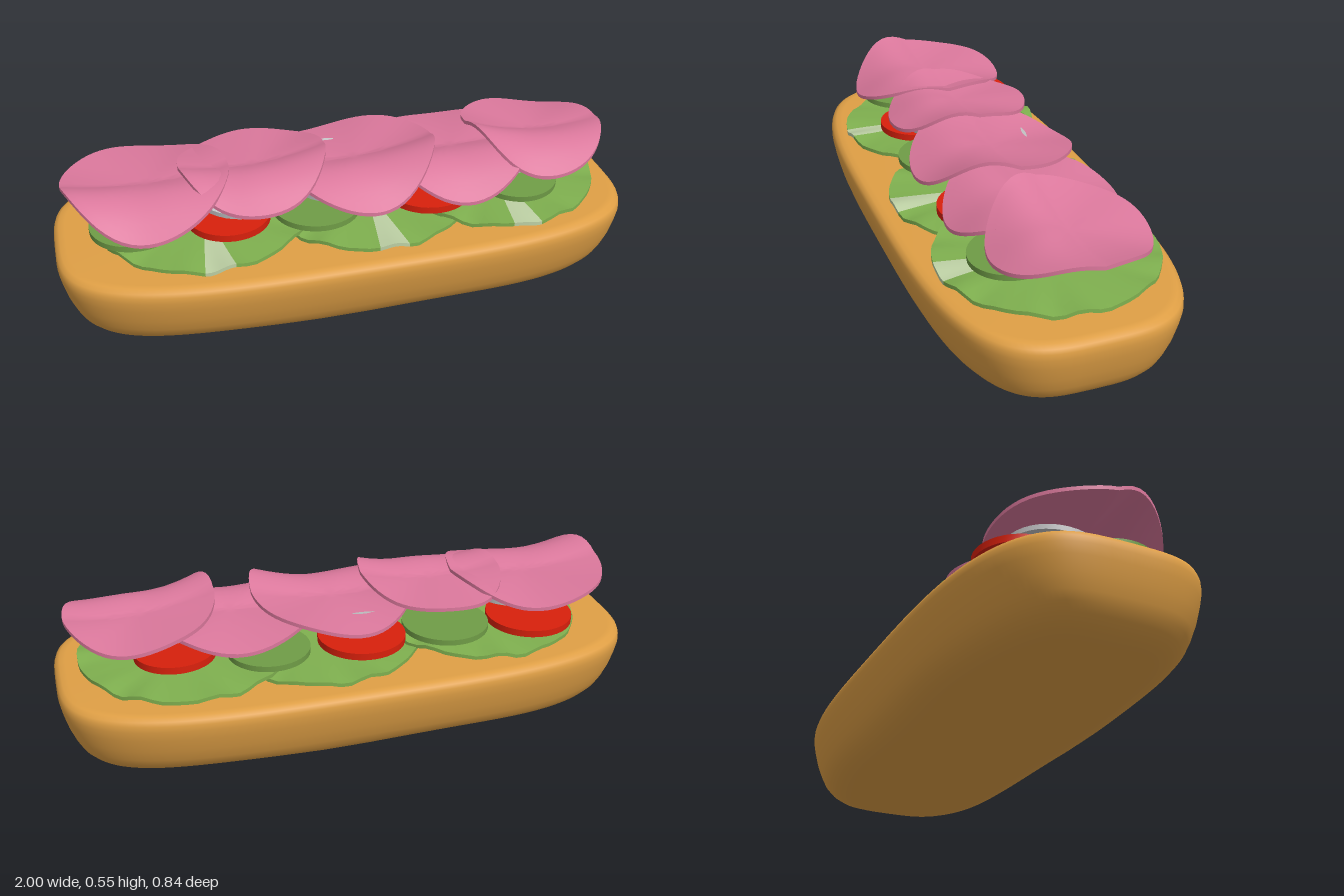
import * as THREE from 'three';
import { toCreasedNormals } from 'three/addons/utils/BufferGeometryUtils.js';

const material = (name, color, double = false) => {
  const m = new THREE.MeshStandardMaterial({ color });
  m.name = name;
  if (double) m.side = THREE.DoubleSide;
  return m;
};

// Move every vertex of a geometry by a rule, then rebuild its normals.
function reshape(geometry, rule, crease) {
  const p = geometry.attributes.position;
  const v = new THREE.Vector3();
  for (let i = 0; i < p.count; i++) {
    rule(v.fromBufferAttribute(p, i));
    p.setXYZ(i, v.x, v.y, v.z);
  }
  return toCreasedNormals(geometry, crease);
}

// Round slice with several rings, bent by height(u, w) where u, w run from -1 to 1.
function bentSlice(r, t, height, start = 0, length = Math.PI * 2) {
  const rings = 9;
  const pts = [];
  for (let i = 0; i <= rings; i++) pts.push(new THREE.Vector2(r * i / rings, -t / 2));
  for (let i = rings; i >= 0; i--) pts.push(new THREE.Vector2(r * i / rings, t / 2));
  const segments = Math.max(6, Math.round(64 * length / (Math.PI * 2)));
  const geo = new THREE.LatheGeometry(pts, segments, start, length);
  return reshape(geo, (v) => { v.y += height(v.x / r, v.z / r); }, 0.9);
}

// Bread: rounded profile [inset, height] swept around a superellipse.
function breadGeometry() {
  const profile = [[0.42, 0.005], [0.36, 0.005], [0.28, 0.006], [0.2, 0.009], [0.13, 0.017],
    [0.095, 0.03], [0.068, 0.05], [0.048, 0.075], [0.034, 0.105], [0.018, 0.15], [0.006, 0.2],
    [0, 0.235], [0.001, 0.256], [0.006, 0.27], [0.02, 0.28], [0.04, 0.281], [0.42, 0.281]];
  const geo = new THREE.LatheGeometry(profile.map(([d, y]) => new THREE.Vector2(1 - d, y)), 128);
  const bend = (c) => Math.sign(c) * Math.abs(c) ** (2 / 3.5);
  return reshape(geo, (v) => {
    const rho = Math.hypot(v.x, v.z);
    v.set(rho * bend(v.x / rho), v.y, Math.max(0, rho - 0.58) * bend(v.z / rho));
    // shallow cross grooves on the underside
    const groove = Math.max(0, 1 - v.y / 0.1);
    v.y += 0.006 * groove * (1 - Math.cos((v.x + v.z * 0.3) * Math.PI * 2 / 0.78));
  }, 0.9);
}

export function createModel() {
  const group = new THREE.Group();
  group.name = 'openSandwich';
  const bread = material('bread', 0xdf9f45);
  const leaf = material('lettuce green', 0x7fb04f, true);
  const rib = material('lettuce rib', 0xbdd0a4, true);
  const red = material('tomato red', 0xd8200c);
  const pickle = material('cucumber green', 0x6f9c46);
  const grey = material('pale grey slice', 0xc4c4c6);
  const pink = material('ham pink', 0xdb789c, true);

  const add = (name, geo, mat, x, y, z, rx = 0, rz = 0) => {
    const mesh = new THREE.Mesh(geo, mat);
    mesh.name = name;
    mesh.position.set(x, y, z);
    mesh.rotation.set(rx, 0, rz);
    group.add(mesh);
  };

  add('breadBase', breadGeometry(), bread, 0, 0, 0);

  // Three frilled lettuce leaves, each with a pale rib towards the front
  [[-0.49, 0.314, 0.02], [0.09, 0.303, 0.012], [0.56, 0.317, 0.008]].forEach(([x, y, tilt], k) => {
    const frill = (u, w) => {
      const a = Math.atan2(u, w), r2 = u * u + w * w;
      return r2 * r2 * (0.006 * Math.sin(11 * a + k * 2) + 0.004 * Math.sin(17 * a + k));
    };
    const half = 0.14;
    add('lettuceLeaf', bentSlice(0.36, 0.013, frill, half, Math.PI * 2 - half * 2), leaf, x, y, 0, 0, tilt);
    add('lettuceRib', bentSlice(0.36, 0.013, frill, -half, half * 2), rib, x, y, 0, 0, tilt);
  });

  // Flat vegetable slices: x, y, z, radius, tilt
  const slice = (name, mat, thick) => ([x, y, z, r, rx = 0]) =>
    add(name, toCreasedNormals(new THREE.CylinderGeometry(r, r, thick, 40), 0.6), mat, x, y, z, rx);
  [[-0.63, 0.356, -0.17, 0.15], [-0.02, 0.358, -0.16, 0.15], [0.61, 0.374, -0.125, 0.135, 0.04],
    [-0.42, 0.355, 0.11, 0.14], [0.28, 0.355, 0.11, 0.15]].forEach(slice('tomatoSlice', red, 0.024));
  [[-0.73, 0.354, 0.08, 0.15], [-0.33, 0.352, -0.14, 0.15], [-0.12, 0.356, 0.12, 0.15],
    [0.3, 0.352, -0.15, 0.14], [0.6, 0.365, 0.13, 0.142, 0.07]].forEach(slice('cucumberSlice', pickle, 0.02));

  // Tilted pale slices tucked under the ham
  [[-0.64, 0.402, -0.06, 0.16, 0.12], [-0.36, 0.404, 0, 0.17, 0.16], [-0.04, 0.408, -0.01, 0.16, 0.18],
    [0.26, 0.402, -0.02, 0.15, 0.1], [0.58, 0.41, -0.02, 0.16, 0.2]].forEach(slice('paleSlice', grey, 0.018));

  // Wavy ham slices: x, centre height, radius, sideways slope, bow
  [[-0.675, 0.447, 0.28, 0.002, 0.032], [-0.313, 0.467, 0.252, 0.012, 0.028],
    [0.045, 0.444, 0.28, 0.015, 0.038], [0.4, 0.438, 0.28, 0.008, 0.014],
    [0.702, 0.464, 0.25, -0.022, 0.036]].forEach(([x, y, r, slope, bow], k) => {
    const wave = (u, w) => {
      const a = Math.atan2(u, w), r2 = u * u + w * w;
      const droop = w > 0 ? 0.022 * Math.sin(w * 4.2) - 0.04 * w ** 3 : -0.012 * w * w;
      return slope * u + bow * u * u + droop + 0.009 * r2 * Math.sin(4 * a + k * 1.7);
    };
    add('hamSlice', bentSlice(r, 0.013, wave), pink, x, y, -0.008);
  });
  return group;
}
